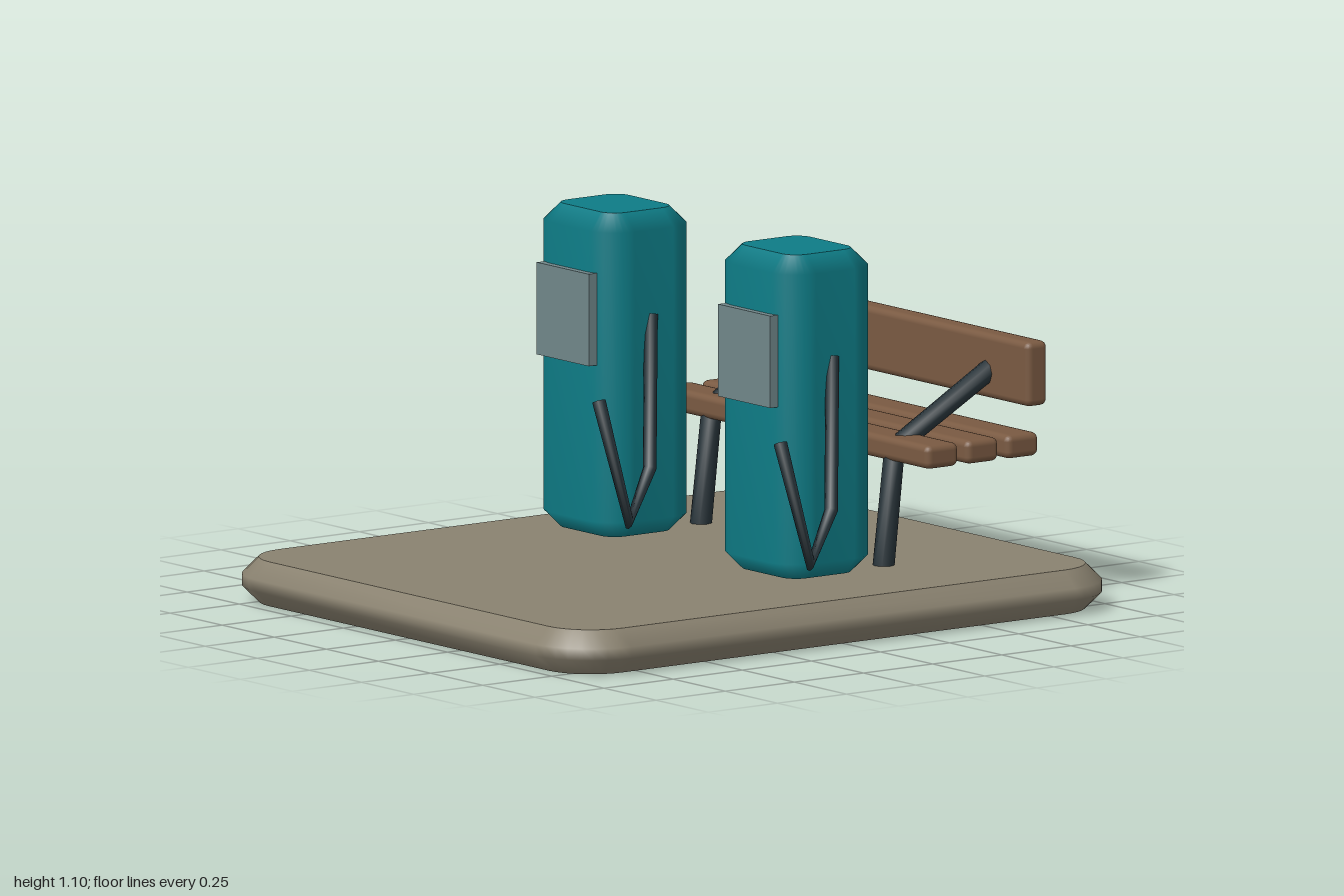
import * as THREE from 'three';
import { mergeVertices, mergeGeometries } from 'three/addons/utils/BufferGeometryUtils.js';
import { RoundedBoxGeometry } from 'three/addons/geometries/RoundedBoxGeometry.js';

function material(name, color) {
  const m = new THREE.MeshStandardMaterial({ color });
  m.name = name;
  return m;
}

function mesh(name, geometry, mat, x = 0, y = 0, z = 0) {
  const m = new THREE.Mesh(geometry, mat);
  m.name = name;
  m.position.set(x, y, z);
  return m;
}

// Upright block with rounded corners and a bevelled rim, standing on y = 0.
// Flat caps keep a sharp edge; the sides and bevels shade smoothly.
function bevelledBlock(w, h, d, radius, bevel) {
  const a = w / 2 - bevel, b = d / 2 - bevel, r = radius - bevel;
  const s = new THREE.Shape();
  s.absarc(a - r, b - r, r, 0, Math.PI / 2);
  s.absarc(-a + r, b - r, r, Math.PI / 2, Math.PI);
  s.absarc(-a + r, -b + r, r, Math.PI, Math.PI * 1.5);
  s.absarc(a - r, -b + r, r, Math.PI * 1.5, Math.PI * 2);
  const solid = new THREE.ExtrudeGeometry(s, {
    depth: h - 2 * bevel, bevelSize: bevel, bevelThickness: bevel, bevelSegments: 1, curveSegments: 4,
  });
  const position = solid.attributes.position.array;
  const parts = solid.groups.map(({ start, count }) => {
    const g = new THREE.BufferGeometry();
    g.setAttribute('position', new THREE.BufferAttribute(position.slice(start * 3, (start + count) * 3), 3));
    const smooth = mergeVertices(g);
    smooth.computeVertexNormals();
    return smooth;
  });
  return mergeGeometries(parts).translate(0, 0, bevel).rotateX(-Math.PI / 2);
}

// Straight-segment path whose corners take the mean direction of their neighbours
class BentPath extends THREE.Curve {
  constructor(points) {
    super();
    this.points = points.map((p) => new THREE.Vector3(...p));
  }
  getPointAt(t, target = new THREE.Vector3()) {
    return target.copy(this.points[Math.round(t * (this.points.length - 1))]);
  }
  getTangentAt(t, target = new THREE.Vector3()) {
    const p = this.points, i = Math.round(t * (p.length - 1));
    target.set(0, 0, 0);
    if (i > 0) target.add(p[i].clone().sub(p[i - 1]).normalize());
    if (i < p.length - 1) target.add(p[i + 1].clone().sub(p[i]).normalize());
    return target.normalize();
  }
}

// Bent rod with closed ends
function bentRod(points, radius, sides) {
  const path = new BentPath(points);
  const tube = new THREE.TubeGeometry(path, points.length - 1, radius, sides, false);
  const caps = [0, 1].map((t) => {
    const out = path.getTangentAt(t).multiplyScalar(t ? 1 : -1);
    const turn = new THREE.Quaternion().setFromUnitVectors(new THREE.Vector3(0, 0, 1), out);
    const at = path.getPointAt(t);
    return new THREE.CircleGeometry(radius, sides).applyQuaternion(turn).translate(at.x, at.y, at.z);
  });
  return mergeGeometries([tube, ...caps]);
}

export function createModel() {
  const stone = material('stone', 0x8a8270);
  const teal = material('teal paint', 0x0e7c86);
  const glass = material('display grey', 0x71878a);
  const wood = material('wood', 0x7a5a42);
  const iron = material('dark iron', 0x263238);

  const model = new THREE.Group();
  model.name = 'fuelStop';

  // Ground slab
  model.add(mesh('baseSlab', bevelledBlock(1.74, 0.13, 2, 0.2, 0.048), stone));

  // Two pumps, each with a display and a hose on its left side
  const body = bevelledBlock(0.375, 0.95, 0.335, 0.1, 0.05);
  const display = new THREE.BoxGeometry(0.25, 0.27, 0.05);
  const hose = bentRod([
    [0.175, 0.8, -0.12], [0.275, 0.37, -0.04], [0.345, 0.235, 0.087], [0.2, 0.57, 0.087],
  ], 0.02, 8);
  for (const side of [-1, 1]) {
    const pump = new THREE.Group();
    pump.name = side < 0 ? 'rightPump' : 'leftPump';
    pump.position.x = side * 0.435;
    pump.add(
      mesh('pumpBody', body, teal, 0, 0.15, -0.122),
      mesh('pumpDisplay', display, glass, 0, 0.795, 0.042),
      mesh('pumpHose', hose, iron),
    );
    model.add(pump);
  }

  // Bench: seat slats, backrest and two bent supports
  const bench = new THREE.Group();
  bench.name = 'bench';
  const slat = new RoundedBoxGeometry(1.285, 0.07, 0.116, 2, 0.02);
  for (const z of [-0.498, -0.643, -0.788]) bench.add(mesh('seatSlat', slat, wood, 0, 0.47, z));
  bench.add(mesh('backrest', new RoundedBoxGeometry(1.285, 0.19, 0.075, 2, 0.02), wood, 0, 0.675, -0.84));
  const support = bentRod([[0, 0.12, -0.434], [0, 0.47, -0.475], [0, 0.67, -0.83]], 0.032, 8);
  for (const x of [-0.438, 0.438]) bench.add(mesh('benchSupport', support, iron, x));
  model.add(bench);

  return model;
}
